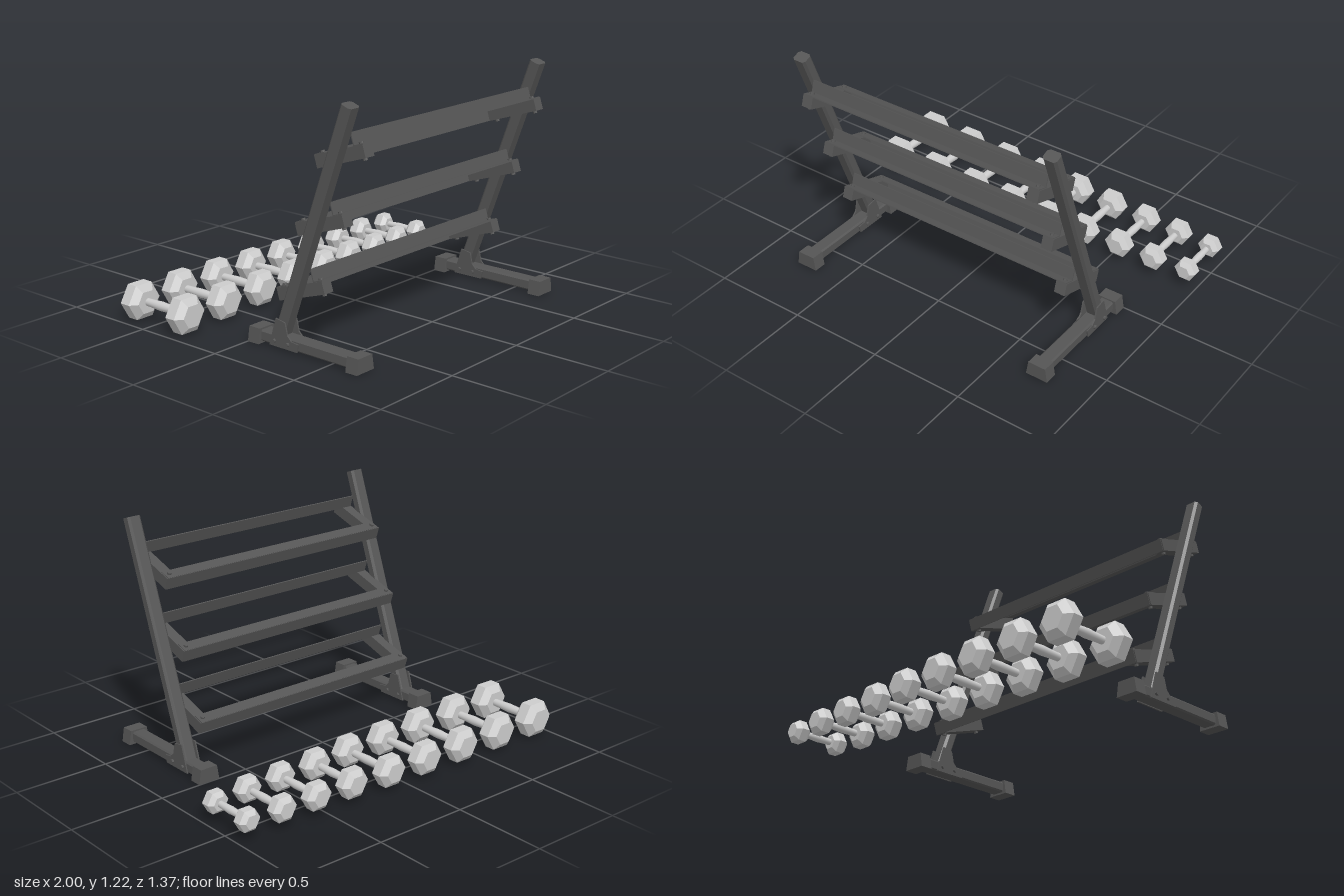
import * as THREE from 'three';

const dark = new THREE.MeshStandardMaterial({ color: 0x555555, flatShading: true });
const grey = new THREE.MeshStandardMaterial({ color: 0xcccccc, flatShading: true });
const gripGrey = new THREE.MeshStandardMaterial({ color: 0xcccccc });

function add(parent, name, geometry, material, x = 0, y = 0, z = 0) {
  const mesh = new THREE.Mesh(geometry, material);
  mesh.name = name;
  mesh.position.set(x, y, z);
  parent.add(mesh);
  return mesh;
}

const box = (w, h, d) => new THREE.BoxGeometry(w, h, d);

// Bar along z with chamfered long edges
function chamferedBar(w, h, length, c) {
  const a = w / 2, b = h / 2;
  const shape = new THREE.Shape([
    [-a + c, -b], [a - c, -b], [a, -b + c], [a, b - c],
    [a - c, b], [-a + c, b], [-a, b - c], [-a, -b + c],
  ].map(([x, y]) => new THREE.Vector2(x, y)));
  return new THREE.ExtrudeGeometry(shape, { depth: length, bevelEnabled: false }).translate(0, 0, -length / 2);
}

// Foot cap, narrower at the top
function capGeometry() {
  const g = box(0.12, 0.075, 0.068);
  const p = g.attributes.position;
  for (let i = 0; i < p.count; i++) if (p.getY(i) > 0) p.setX(i, p.getX(i) * 0.8);
  return g;
}

// Gusset plate, drawn in (z, y) and turned to face sideways
function gussetGeometry() {
  const shape = new THREE.Shape([
    [0.125, 0.01], [0.30, 0.01], [0.31, 0.05], [0.265, 0.055], [0.24, 0.08], [0.225, 0.14], [0.168, 0.15],
  ].map(([z, y]) => new THREE.Vector2(-z, y)));
  return new THREE.ExtrudeGeometry(shape, { depth: 0.008, bevelEnabled: false })
    .translate(0, 0, -0.004).rotateY(Math.PI / 2);
}

function createUpright(side) {
  const g = new THREE.Group();
  g.name = side > 0 ? 'leftUpright' : 'rightUpright';
  g.position.x = side * 0.722;

  const post = add(g, 'post', chamferedBar(0.075, 0.06, 1.226, 0.012), dark, 0, 0.636, 0.382);
  post.rotation.x = THREE.MathUtils.degToRad(20 - 90);

  add(g, 'footBar', chamferedBar(0.075, 0.057, 0.6, 0.008), dark, 0, 0.0385, 0.34);
  for (const z of [0.034, 0.646]) add(g, 'footCap', capGeometry(), dark, 0, 0.0375, z);

  // Gusset plates on both faces, with bolts through them
  for (const s of [-1, 1]) {
    add(g, 'gusset', gussetGeometry(), dark, s * 0.04, 0, 0);
    for (const z of [0.16, 0.245]) {
      const bolt = add(g, 'gussetBolt', new THREE.CylinderGeometry(0.01, 0.01, 0.012, 8), dark, s * 0.049, 0.037, z);
      bolt.rotation.z = Math.PI / 2;
    }
  }
  return g;
}

function createShelf(y, z) {
  const g = new THREE.Group();
  g.name = 'shelf';
  g.position.set(0, y, z);
  g.rotation.x = THREE.MathUtils.degToRad(-18);

  // Side arms with bolts above and below
  for (const s of [-1, 1]) {
    add(g, 'sideArm', box(0.06, 0.062, 0.3), dark, s * 0.66, 0, 0);
    for (const bz of [-0.12, 0.12]) for (const by of [-0.036, 0.038])
      add(g, 'armBolt', new THREE.CylinderGeometry(0.011, 0.011, 0.012, 8), dark, s * 0.66, by, bz);
  }
  // Angle rails: front lip stands up, back lip hangs down
  add(g, 'frontRailFlange', box(1.37, 0.006, 0.06), dark, 0, 0.032, 0.12);
  add(g, 'frontRailLip', box(1.37, 0.062, 0.006), dark, 0, 0.064, 0.093);
  add(g, 'backRailFlange', box(1.37, 0.006, 0.06), dark, 0, 0.032, -0.12);
  add(g, 'backRailLip', box(1.37, 0.064, 0.006), dark, 0, 0.002, -0.15);
  return g;
}

// r: head radius, half: half the overall length, len: head length
function createDumbbell(x, r, half, len) {
  const g = new THREE.Group();
  g.name = 'dumbbell';
  g.position.set(x, 0.098, -0.466);

  const lathe = (pts, n) => new THREE.LatheGeometry(pts.map(([a, b]) => new THREE.Vector2(a, b)), n, Math.PI / 2)
    .rotateX(Math.PI / 2);
  const h = len / 2, c = len * 0.25;
  const profile = [[0, -h], [r * 0.62, -h], [r, -h + c], [r, h - c], [r * 0.62, h], [0, h]];
  for (const s of [-1, 1]) add(g, 'hexHead', lathe(profile, 6), grey, 0, 0, s * (half - h));

  // Handle swelling slightly in the middle
  const q = half - len + 0.005, k = 0.013 + r * 0.1;
  add(g, 'handle', lathe([[k * 0.85, -q], [k * 0.9, -q * 0.6], [k * 1.05, 0], [k * 0.9, q * 0.6], [k * 0.85, q]], 16), gripGrey);
  return g;
}

export function createModel() {
  const model = new THREE.Group();
  model.name = 'dumbbellRack';

  for (const side of [-1, 1]) model.add(createUpright(side));
  for (let i = 0; i < 3; i++) model.add(createShelf(0.282 + i * 0.3405, 0.256 + i * 0.122));

  // Dumbbells from heaviest to lightest
  const sizes = [
    [-0.899, 0.101, 0.219, 0.117], [-0.636, 0.098, 0.215, 0.112], [-0.377, 0.094, 0.21, 0.108],
    [-0.131, 0.09, 0.206, 0.106], [0.104, 0.085, 0.203, 0.104], [0.329, 0.082, 0.186, 0.098],
    [0.545, 0.075, 0.181, 0.094], [0.746, 0.07, 0.176, 0.09], [0.938, 0.06, 0.162, 0.084],
  ];
  for (const s of sizes) model.add(createDumbbell(...s));
  return model;
}
